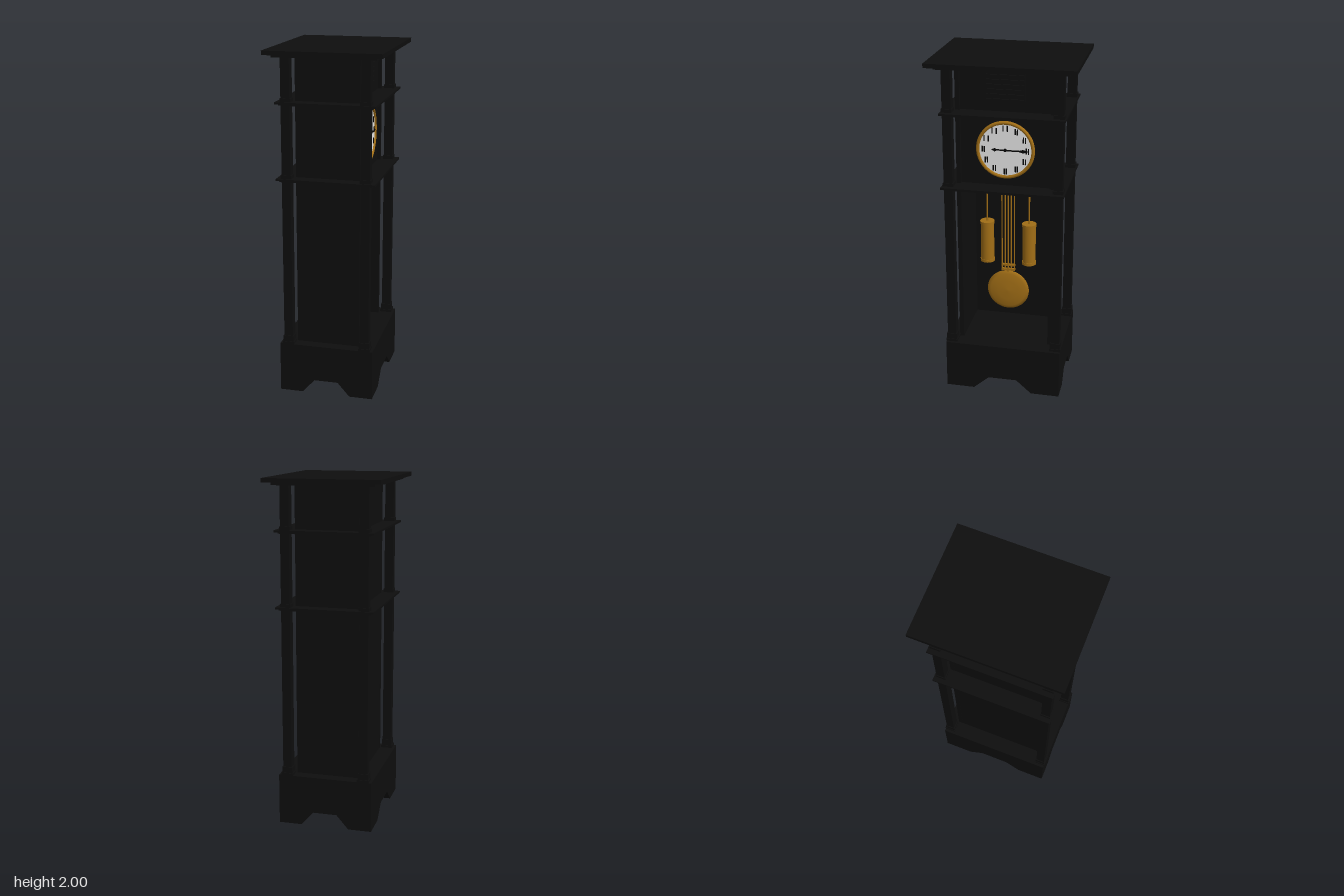
import * as THREE from 'three';

const mat = (name, color) => {
  const m = new THREE.MeshStandardMaterial({ color });
  m.name = name;
  return m;
};

export function createModel() {
  const wood = mat('ebony wood', 0x0e0e0e);
  const brass = mat('brass', 0xa16e16);
  const white = mat('dial white', 0xfdfdfd);
  const ink = mat('dial black', 0x050505);

  const clock = new THREE.Group();
  clock.name = 'longcaseClock';

  const add = (name, geo, material, x = 0, y = 0, z = 0, parent = clock) => {
    const mesh = new THREE.Mesh(geo, material);
    mesh.name = name;
    mesh.position.set(x, y, z);
    parent.add(mesh);
    return mesh;
  };
  // box given by its lower and upper corners
  const box = (name, material, x0, x1, y0, y1, z0, z1, parent = clock) =>
    add(name, new THREE.BoxGeometry(x1 - x0, y1 - y0, z1 - z0), material,
      (x0 + x1) / 2, (y0 + y1) / 2, (z0 + z1) / 2, parent);
  // slab centred on the vertical axis
  const slab = (name, hx, hz, y0, y1) => box(name, wood, -hx, hx, y0, y1, -hz, hz);
  const rod = (name, material, r, y0, y1, x, z, sides = 12, parent = clock) =>
    add(name, new THREE.CylinderGeometry(r, r, y1 - y0, sides), material, x, (y0 + y1) / 2, z, parent);

  // plinth, with sloping channels crossing underneath to leave four feet
  slab('plinth', 0.275, 0.343, 0.08, 0.295);
  for (const sx of [-1, 1]) for (const sz of [-1, 1]) {
    const geo = new THREE.BoxGeometry(1, 1, 1);
    const p = geo.attributes.position;
    for (let i = 0; i < p.count; i++) {
      const low = p.getY(i) < 0;
      const innerX = low ? 0.14 : 0.07, innerZ = low ? 0.175 : 0.085;
      p.setXYZ(i,
        sx * (p.getX(i) * sx > 0 ? 0.275 : innerX),
        low ? 0 : 0.08,
        sz * (p.getZ(i) * sz > 0 ? 0.343 : innerZ));
    }
    geo.computeVertexNormals();
    add('foot', geo, wood);
  }

  // case: open on +x below the dial
  for (const s of [-1, 1])
    box('sideWall', wood, -0.185, 0.183, 0.295, 1.965, s * 0.2675 - 0.0125, s * 0.2675 + 0.0125);
  box('backWall', wood, -0.184, -0.16, 0.295, 1.3, -0.256, 0.256);
  box('dialCase', wood, -0.184, 0.165, 1.25, 1.965, -0.256, 0.256);

  // shelves and stepped top
  for (const y of [1.278, 1.708]) {
    slab('shelf', 0.282, 0.35, y - 0.004, y + 0.007);
    slab('shelfMoulding', 0.265, 0.335, y - 0.013, y - 0.004);
  }
  slab('topMoulding', 0.29, 0.37, 1.96, 1.976);
  slab('topBoard', 0.33, 0.413, 1.976, 2);

  // corner posts with stepped feet
  for (const sx of [-1, 1]) for (const sz of [-1, 1]) {
    const x = sx * 0.225, z = sz * 0.312;
    const block = (name, h, y0, y1) => box(name, wood, x - h, x + h, y0, y1, z - h, z + h);
    block('post', 0.0255, 0.295, 1.96);
    block('postBoot', 0.03, 0.295, 0.345);
    block('postBootBase', 0.034, 0.295, 0.31);
    for (const y of [1.285, 1.715]) block('postCollar', 0.03, y, y + 0.02);
  }

  // louvred panel above the dial
  box('louvrePanel', wood, 0.16, 0.17, 1.76, 1.93, -0.11, 0.11);
  for (let i = 0; i < 6; i++) {
    const y = 1.775 + i * 0.027;
    box('louvre', wood, 0.17, 0.178, y, y + 0.012, -0.105, 0.105);
  }

  // dial, modelled facing +z and turned to face +x
  const dial = new THREE.Group();
  dial.name = 'dial';
  dial.position.set(0.165, 1.495, 0);
  dial.rotation.y = Math.PI / 2;
  clock.add(dial);
  const profile = [[0.148, 0], [0.148, 0.01], [0.154, 0.017], [0.162, 0.015], [0.167, 0.007], [0.167, 0]]
    .map(([r, y]) => new THREE.Vector2(r, y)).reverse();
  brass.side = THREE.DoubleSide;
  add('bezel', new THREE.LatheGeometry(profile, 64), brass, 0, 0, 0, dial).rotation.x = Math.PI / 2;
  add('dialFace', new THREE.CircleGeometry(0.15, 64), white, 0, 0, 0.006, dial);

  // hour marks: paired strokes on the wide positions
  for (let h = 1; h <= 12; h++) {
    const a = h * Math.PI / 6;
    for (const dx of h >= 10 ? [-0.012, 0.012] : [-0.006, 0.006])
      add('hourMark', new THREE.BoxGeometry(0.007, 0.034, 0.002), ink,
        Math.sin(a) * 0.125 + dx, Math.cos(a) * 0.125, 0.007, dial);
  }
  // hands, nine and three
  const hand = (name, len, dir, z) => {
    const shape = new THREE.Shape();
    shape.moveTo(0, -0.004);
    shape.lineTo(len * 0.6, -0.004);
    shape.lineTo(len * 0.75, -0.01);
    shape.lineTo(len, 0);
    shape.lineTo(len * 0.75, 0.01);
    shape.lineTo(len * 0.6, 0.004);
    shape.lineTo(0, 0.004);
    const geo = new THREE.ExtrudeGeometry(shape, { depth: 0.002, bevelEnabled: false });
    add(name, geo, ink, 0, 0, z, dial).rotation.z = dir;
  };
  hand('hourHand', 0.08, Math.PI, 0.009);
  hand('minuteHand', 0.135, 0, 0.012);
  add('handHub', new THREE.CylinderGeometry(0.009, 0.009, 0.009, 20), ink, 0, 0, 0.011, dial)
    .rotation.x = Math.PI / 2;

  // pendulum
  const px = 0.095;
  for (const z of [-0.037, -0.018, 0, 0.018, 0.037])
    rod('pendulumRod', brass, 0.004, z === 0 ? 0.7 : 0.72, 1.26, px, z);
  for (const y of [0.728, 0.757])
    box('pendulumCrossbar', brass, px - 0.007, px + 0.007, y - 0.006, y + 0.006, -0.041, 0.041);
  const lens = [[0, -0.018], [0.06, -0.015], [0.105, -0.009], [0.125, 0], [0.105, 0.009], [0.06, 0.015], [0, 0.018]]
    .map(([r, y]) => new THREE.Vector2(r, y));
  add('pendulumBob', new THREE.LatheGeometry(lens, 48), brass, px, 0.595, 0).rotation.z = -Math.PI / 2;

  // weights on their lines
  for (const s of [-1, 1]) {
    const z = s * 0.124;
    rod('weightLine', brass, 0.005, 1.02, 1.26, px, z);
    rod('weight', brass, 0.039, 0.785, 1.025, px, z, 32);
    for (const y of [0.777, 1.015]) rod('weightCap', brass, 0.042, y, y + 0.016, px, z, 32);
    rod('weightNut', brass, 0.01, 0.765, 0.78, px, z);
  }
  return clock;
}
